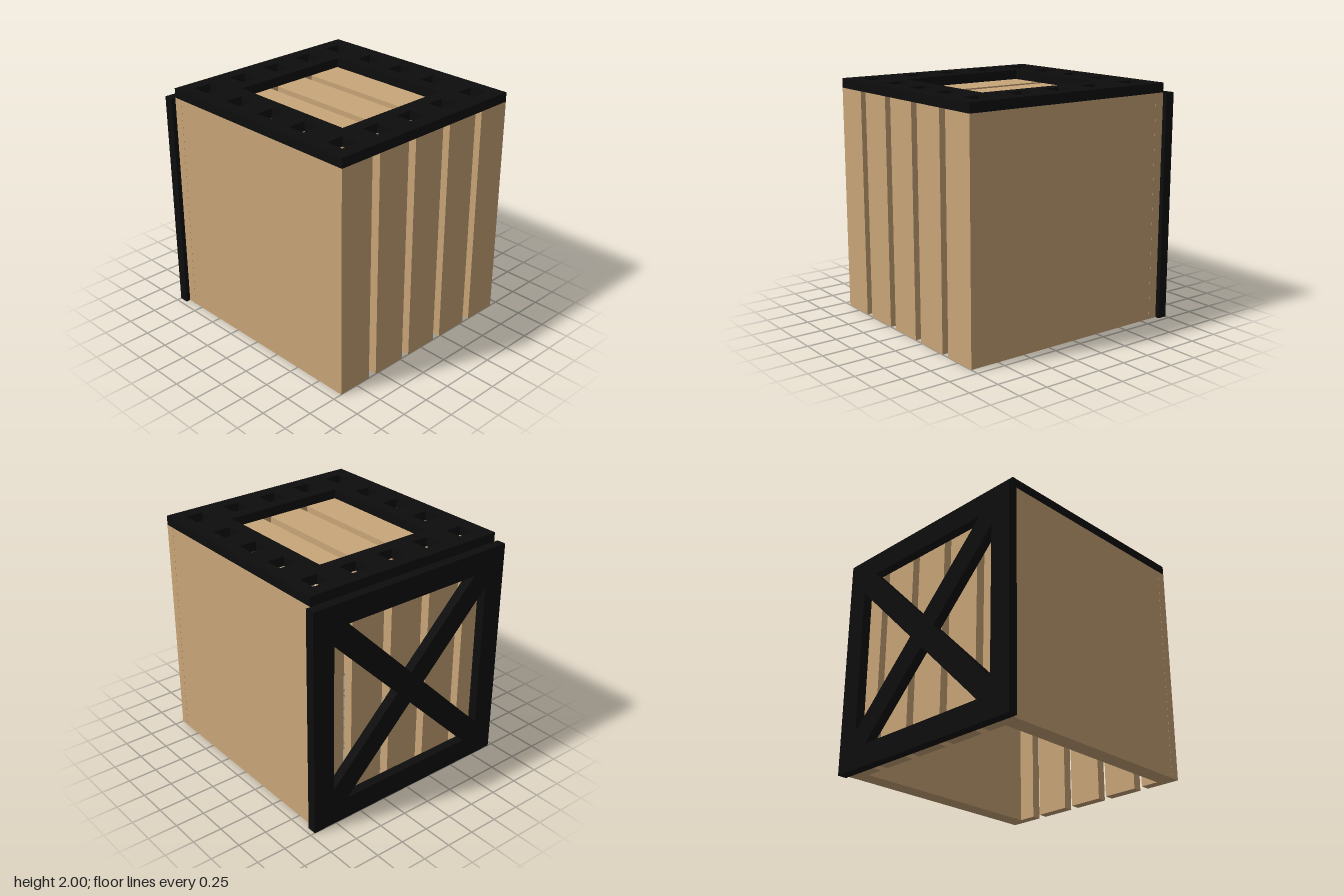
import * as THREE from 'three';

const T = 0.08; // board and frame thickness

function polygon(points, Type = THREE.Path) {
  return new Type(points.map(([x, y]) => new THREE.Vector2(x, y)));
}

function rect(x0, y0, x1, y1, Type) {
  return polygon([[x0, y0], [x1, y0], [x1, y1], [x0, y1]], Type);
}

export function createModel() {
  const wood = new THREE.MeshStandardMaterial({ name: 'wood', color: 0xc9a679 });
  const black = new THREE.MeshStandardMaterial({ name: 'black', color: 0x0d0d0d });
  const crate = new THREE.Group();
  crate.name = 'crate';

  function add(name, geometry, material) {
    const mesh = new THREE.Mesh(geometry, material);
    mesh.name = name;
    crate.add(mesh);
    return mesh;
  }

  function board(name, x0, x1, y0, y1, z0, z1) {
    const geometry = new THREE.BoxGeometry(x1 - x0, y1 - y0, z1 - z0);
    add(name, geometry, wood).position.set((x0 + x1) / 2, (y0 + y1) / 2, (z0 + z1) / 2);
  }

  // Solid front and back walls, fitted between the slatted ends
  board('frontWall', -0.92 + T, 1 - T, 0, 1.92, 0.77, 0.92);
  board('backWall', -0.92 + T, 1 - T, 0, 1.92, -0.92, -0.77);

  // Five slats on each end; the middle three repeat under the lid opening
  for (let i = -2; i <= 2; i++) {
    const z0 = i * 0.384 - 0.153, z1 = i * 0.384 + 0.153;
    board('leftSlat', 1 - T, 1, 0, 1.92, z0, z1);
    board('rightSlat', -0.92, -0.92 + T, 0, 1.92, z0, z1);
    if (Math.abs(i) < 2) board('topSlat', -0.54, 0.615, 1.92 - T, 1.92, z0, z1);
  }

  // Cross-braced end frame: a square plate with four triangular openings
  const frame = rect(-0.96, -0.96, 0.96, 0.96, THREE.Shape);
  const a = 0.77, b = 0.135;
  for (let k = 0; k < 4; k++) {
    const c = Math.round(Math.cos(k * Math.PI / 2)), s = Math.round(Math.sin(k * Math.PI / 2));
    const corners = [[b - a, a], [0, b], [a - b, a]];
    frame.holes.push(polygon(corners.map(([x, y]) => [x * c - y * s, x * s + y * c])));
  }
  const frameGeometry = new THREE.ExtrudeGeometry(frame, { depth: T, bevelEnabled: false });
  frameGeometry.rotateY(Math.PI / 2).translate(-1, 0.96, 0);
  add('crossBracedFrame', frameGeometry, black);

  // Lid frame: central opening ringed by square holes
  const lid = rect(-0.92, -0.92, 1, 0.92, THREE.Shape);
  lid.holes.push(rect(-0.54, -0.54, 0.615, 0.535));
  const holeX = [-0.73, -0.33, 0.035, 0.4, 0.805];
  const holeZ = [-0.73, -0.367, -0.003, 0.362, 0.725];
  const h = 0.077;
  holeX.forEach((x, i) => holeZ.forEach((z, j) => {
    if (i % 4 === 0 || j % 4 === 0) lid.holes.push(rect(x - h, z - h, x + h, z + h));
  }));
  const lidGeometry = new THREE.ExtrudeGeometry(lid, { depth: T, bevelEnabled: false });
  lidGeometry.rotateX(Math.PI / 2).translate(0, 2, 0);
  add('lidFrame', lidGeometry, black);

  // Dark triangular patch inside the front wall
  const patch = polygon([[-0.84, 0.09], [0.04, 0.97], [-0.84, 0.97]], THREE.Shape);
  const patchGeometry = new THREE.ExtrudeGeometry(patch, { depth: 0.004, bevelEnabled: false });
  patchGeometry.translate(0, 0, 0.766);
  add('innerPatch', patchGeometry, black);

  return crate;
}
